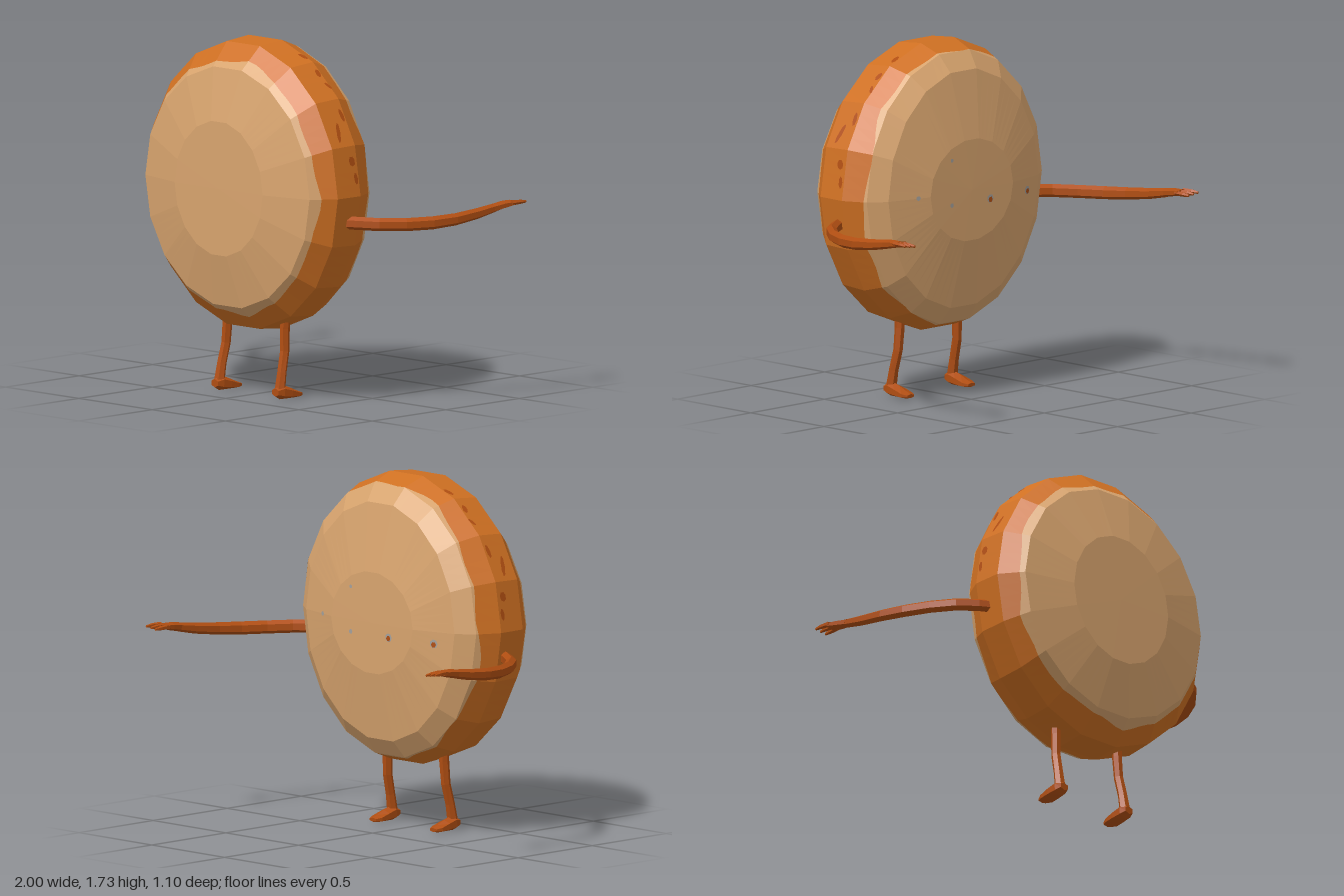
import * as THREE from 'three';

const SIDES = 18, SUB = 4, STEPS = SIDES * SUB, CY = 1.028;

const makeMaterial = (name, color) => {
  const m = new THREE.MeshStandardMaterial({ color });
  m.name = name;
  return m;
};

// Faceted skin over equal-length loops of points
function stitch(rings) {
  const pos = [], ab = new THREE.Vector3(), ac = new THREE.Vector3();
  const tri = (a, b, c) => {
    if (ab.subVectors(b, a).cross(ac.subVectors(c, a)).length() < 1e-9) return;
    pos.push(...a.toArray(), ...b.toArray(), ...c.toArray());
  };
  for (let i = 0; i < rings.length - 1; i++) {
    const n = rings[i].length;
    for (let j = 0; j < n; j++) {
      const k = (j + 1) % n, A = rings[i], B = rings[i + 1];
      tri(A[j], A[k], B[k]);
      tri(A[j], B[k], B[j]);
    }
  }
  const g = new THREE.BufferGeometry();
  g.setAttribute('position', new THREE.Float32BufferAttribute(pos, 3));
  g.computeVertexNormals();
  return g;
}

// Limb from sections [x, y, z, halfWidth, halfHeight], closed at both ends
function loft(sections, ref, sides = 6) {
  const pts = sections.map(s => new THREE.Vector3(s[0], s[1], s[2]));
  const rings = pts.map((p, i) => {
    const t = pts[Math.min(i + 1, pts.length - 1)].clone().sub(pts[Math.max(i - 1, 0)]).normalize();
    const side = ref.clone().cross(t).normalize();
    const up = t.clone().cross(side);
    return Array.from({ length: sides }, (_, j) => {
      const a = (j + 0.5) / sides * Math.PI * 2;
      return p.clone().addScaledVector(side, sections[i][3] * Math.cos(a))
        .addScaledVector(up, sections[i][4] * Math.sin(a));
    });
  });
  const cap = p => Array.from({ length: sides }, () => p.clone());
  return stitch([cap(pts[0]), ...rings, cap(pts[pts.length - 1])]);
}

// Body outline: straight-sided polygon with extra points along every side
function bodyRing(z, rx, ry) {
  const corner = k => {
    const a = (k * 20 + 10) * Math.PI / 180;
    return new THREE.Vector3(rx * Math.sin(a), CY + ry * Math.cos(a), z);
  };
  return Array.from({ length: STEPS }, (_, j) => {
    const k = Math.floor(j / SUB);
    return corner(k).lerp(corner(k + 1), (j % SUB) / SUB);
  });
}

// Uneven edge of the baked crust, between two rings
const wavyRing = (A, B, mid, amount, phase) => A.map((p, j) => {
  const a = j / STEPS * Math.PI * 2;
  const w = 0.5 * Math.sin(5 * a + phase) + 0.3 * Math.sin(9 * a + 2 * phase) + 0.2 * Math.sin(14 * a);
  return p.clone().lerp(B[j], mid + amount * w);
});

export function createModel() {
  const group = new THREE.Group();
  const crumb = makeMaterial('pale crumb', 0xd8a46e);
  const crust = makeMaterial('orange crust', 0xcf7022);
  const brown = makeMaterial('brown limb', 0xb04e12);
  const grey = makeMaterial('grey speck', 0xa3a09c);

  const add = (name, geometry, material, parent = group) => {
    const m = new THREE.Mesh(geometry, material);
    m.name = name;
    parent.add(m);
    return m;
  };
  const X = new THREE.Vector3(1, 0, 0), Y = new THREE.Vector3(0, 1, 0);

  // Round body, front to back
  const frontRim = bodyRing(0.488, 0.56, 0.588);
  const bandFront = bodyRing(0.38, 0.645, 0.7);
  const bandBack = bodyRing(0.23, 0.65, 0.714);
  const backRim = bodyRing(0.115, 0.595, 0.67);
  const frontEdge = wavyRing(frontRim, bandFront, 0.3, 0.14, 0.7);
  const backEdge = wavyRing(bandBack, backRim, 0.86, 0.2, 2.1);
  add('frontFace', stitch([bodyRing(0.55, 0, 0), bodyRing(0.548, 0.3, 0.33), frontRim, frontEdge]), crumb);
  add('crustBand', stitch([frontEdge, bandFront, bandBack, backEdge]), crust);
  add('backFace', stitch([backEdge, backRim, bodyRing(0.052, 0.51, 0.585),
    bodyRing(-0.005, 0.28, 0.25), bodyRing(-0.008, 0, 0)]), crumb);

  // Dark baked flecks on the crust: angle from top, z, width, length, tilt
  const flecks = [[25, 0.245, 0.03, 0.06, 0.2], [36, 0.25, 0.03, 0.05, -0.2], [43, 0.24, 0.02, 0.05, 0.5],
    [57, 0.25, 0.025, 0.07, 0.1], [64, 0.31, 0.025, 0.11, -0.25], [76, 0.265, 0.04, 0.05, 0.3],
    [83, 0.25, 0.025, 0.06, 0.1]];
  for (const s of [1, -1]) for (const [deg, z, w, l, tilt] of flecks) {
    const mid = Math.round(deg / 20) * 20 * Math.PI / 180, a = deg * Math.PI / 180;
    const n = new THREE.Vector3(s * 0.71 * Math.sin(mid), 0.65 * Math.cos(mid), 0).normalize();
    const inset = Math.cos(Math.PI / 18) / Math.cos(a - mid);
    const p = new THREE.Vector3(s * 0.648 * inset * Math.sin(a), CY + 0.711 * inset * Math.cos(a), z);
    const fleck = add('crustFleck', new THREE.CircleGeometry(0.5, 7).scale(w, l, 1), brown);
    fleck.position.copy(p).addScaledVector(n, 0.005);
    fleck.lookAt(p.clone().add(n));
    fleck.rotateZ(tilt);
  }

  // Tiny specks on the back
  for (const [x, y, r, dark] of [[0.35, 1.03, 0.012, 0], [0.14, 0.97, 0.012, 0], [0.14, 1.19, 0.01, 0],
    [-0.12, 0.97, 0.022, 1], [-0.4, 0.97, 0.022, 1]]) {
    const z = -0.009 + Math.max(0, Math.abs(x) - 0.28) * 0.25;
    const tilt = Math.abs(x) > 0.28 ? Math.sign(x) * 0.24 : 0;
    const speck = add('backSpeck', new THREE.CircleGeometry(r, 7), grey);
    speck.position.set(x, y, z - 0.002);
    speck.rotation.y = Math.PI - tilt;
    if (dark) {
      const dot = add('backSpeckCentre', new THREE.CircleGeometry(r * 0.65, 6), brown, speck);
      dot.position.set(0, -0.004, 0.002);
    }
  }

  for (const s of [1, -1]) {
    const side = s > 0 ? 'left' : 'right';
    const mirror = list => list.map(([x, ...rest]) => [s * x, ...rest]);

    // Arm sweeping back, with a flat hand and three fingers
    const arm = new THREE.Group();
    arm.name = side + 'Arm';
    group.add(arm);
    add('arm', loft(mirror([[0.58, 0.9, 0.3, 0.028, 0.032], [0.66, 0.9, 0.26, 0.028, 0.032],
      [0.75, 0.897, 0.2, 0.028, 0.032], [0.83, 0.895, 0.1, 0.028, 0.032], [0.89, 0.897, -0.02, 0.028, 0.032],
      [0.925, 0.905, -0.14, 0.027, 0.03], [0.94, 0.92, -0.27, 0.025, 0.027],
      [0.95, 0.938, -0.38, 0.024, 0.022]]), Y), brown, arm);
    add('hand', loft(mirror([[0.95, 0.937, -0.37, 0.024, 0.022], [0.953, 0.947, -0.43, 0.035, 0.02],
      [0.957, 0.953, -0.48, 0.042, 0.014]]), Y), brown, arm);
    for (const f of [-1, 0, 1]) {
      add('finger', loft(mirror([[0.957 + f * 0.025, 0.953 + f * 0.003, -0.465, 0.015, 0.013],
        [0.96 + f * 0.029, 0.953 + f * 0.004, -0.515, 0.012, 0.011],
        [0.962 + f * 0.031, 0.951 + f * 0.004, -0.552, 0.006, 0.006]]), Y, 5), brown, arm);
    }

    // Leg with a foot
    const leg = new THREE.Group();
    leg.name = side + 'Leg';
    group.add(leg);
    add('shin', loft(mirror([[0.195, 0.4, 0.29, 0.026, 0.025], [0.195, 0.34, 0.292, 0.026, 0.023],
      [0.2, 0.23, 0.298, 0.024, 0.022], [0.205, 0.13, 0.322, 0.023, 0.024],
      [0.207, 0.04, 0.338, 0.026, 0.028]]), X), brown, leg);
    add('foot', loft(mirror([[0.207, 0.037, 0.368, 0.026, 0.02], [0.207, 0.037, 0.335, 0.038, 0.036],
      [0.207, 0.028, 0.285, 0.042, 0.028], [0.207, 0.018, 0.235, 0.042, 0.018],
      [0.207, 0.016, 0.205, 0.026, 0.01]]), Y), brown, leg);
  }
  return group;
}
